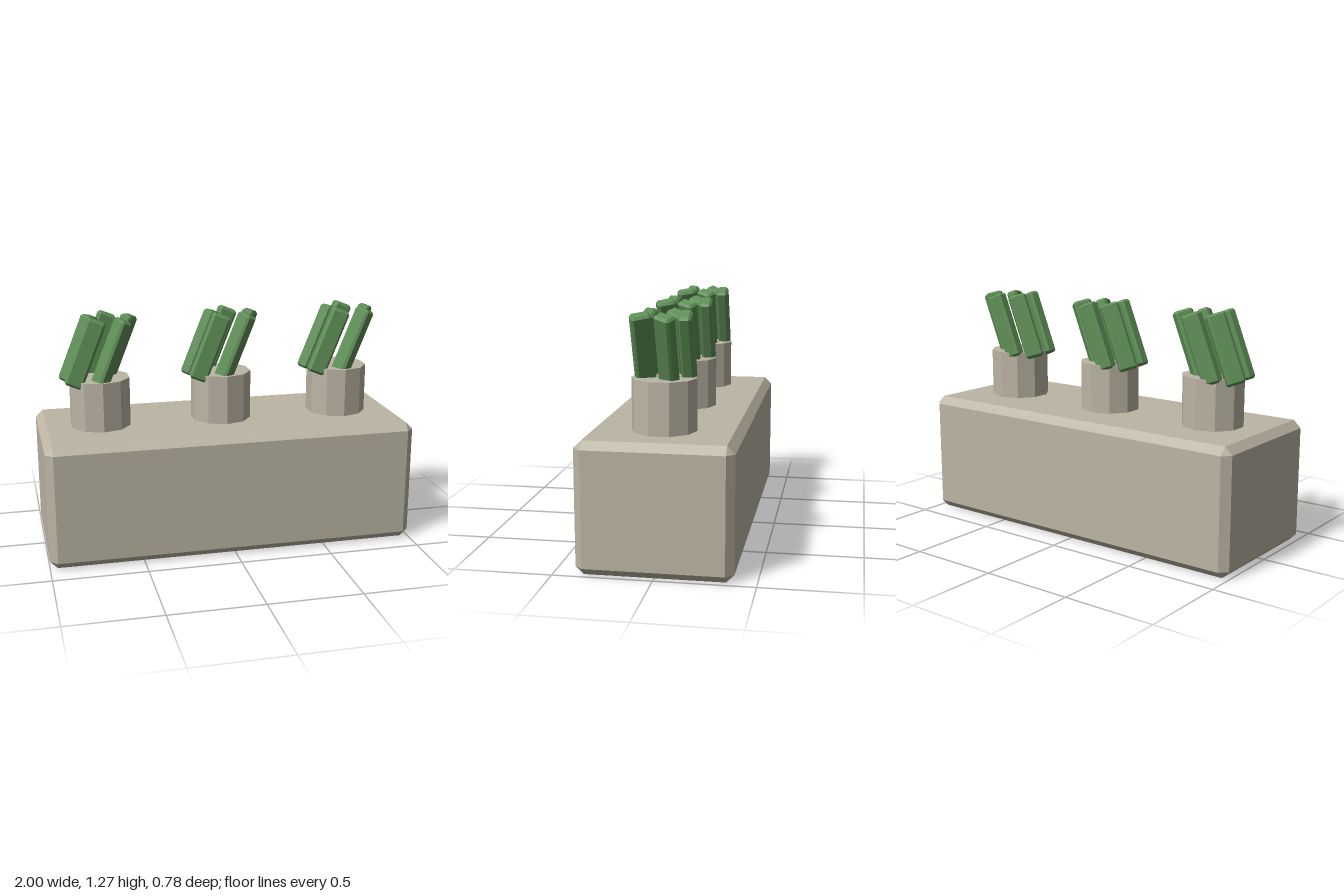
import * as THREE from 'three';
import { ConvexGeometry } from 'three/addons/geometries/ConvexGeometry.js';

// Box with flat 45 degree bevels on every edge
function bevelBox(w, h, d, c) {
  const points = [];
  for (const x of [-1, 1]) for (const y of [-1, 1]) for (const z of [-1, 1]) {
    for (let axis = 0; axis < 3; axis++) {
      const half = [w / 2, h / 2, d / 2].map((s, i) => (i === axis ? s : s - c));
      points.push(new THREE.Vector3(x * half[0], y * half[1], z * half[2]));
    }
  }
  return new ConvexGeometry(points);
}

export function createModel() {
  const stone = new THREE.MeshStandardMaterial({ color: 0xbcb5a4 });
  stone.name = 'stone';
  const leafGreen = new THREE.MeshStandardMaterial({ color: 0x5f8f57 });
  leafGreen.name = 'leaf green';

  const model = new THREE.Group();
  model.name = 'planter';

  // Bevelled block
  const block = new THREE.Mesh(bevelBox(2, 0.67, 0.78, 0.04), stone);
  block.name = 'block';
  block.position.y = 0.335;
  model.add(block);

  const potGeometry = new THREE.CylinderGeometry(0.165, 0.165, 0.275, 10).toNonIndexed();
  potGeometry.computeVertexNormals();
  const leafGeometry = bevelBox(0.1, 0.375, 0.066, 0.012);

  // Three ten-sided pots, each with five leaning leaves
  for (const x of [-0.67, 0, 0.67]) {
    const plant = new THREE.Group();
    plant.name = 'plant';
    plant.position.x = x;

    const pot = new THREE.Mesh(potGeometry, stone);
    pot.name = 'pot';
    pot.position.y = 0.7975;
    plant.add(pot);

    // Leaves circle the pot, each twisted further, all leaning to +x
    for (let i = 0; i < 5; i++) {
      const angle = -Math.PI / 2 + i * 1.3;
      const leaf = new THREE.Mesh(leafGeometry, leafGreen);
      leaf.name = 'leaf';
      leaf.position.set(0.113 * Math.cos(angle), 1.082, 0.113 * Math.sin(angle) - 0.003);
      leaf.rotation.set(0, i, -0.38, 'ZYX');
      plant.add(leaf);
    }
    model.add(plant);
  }
  return model;
}
